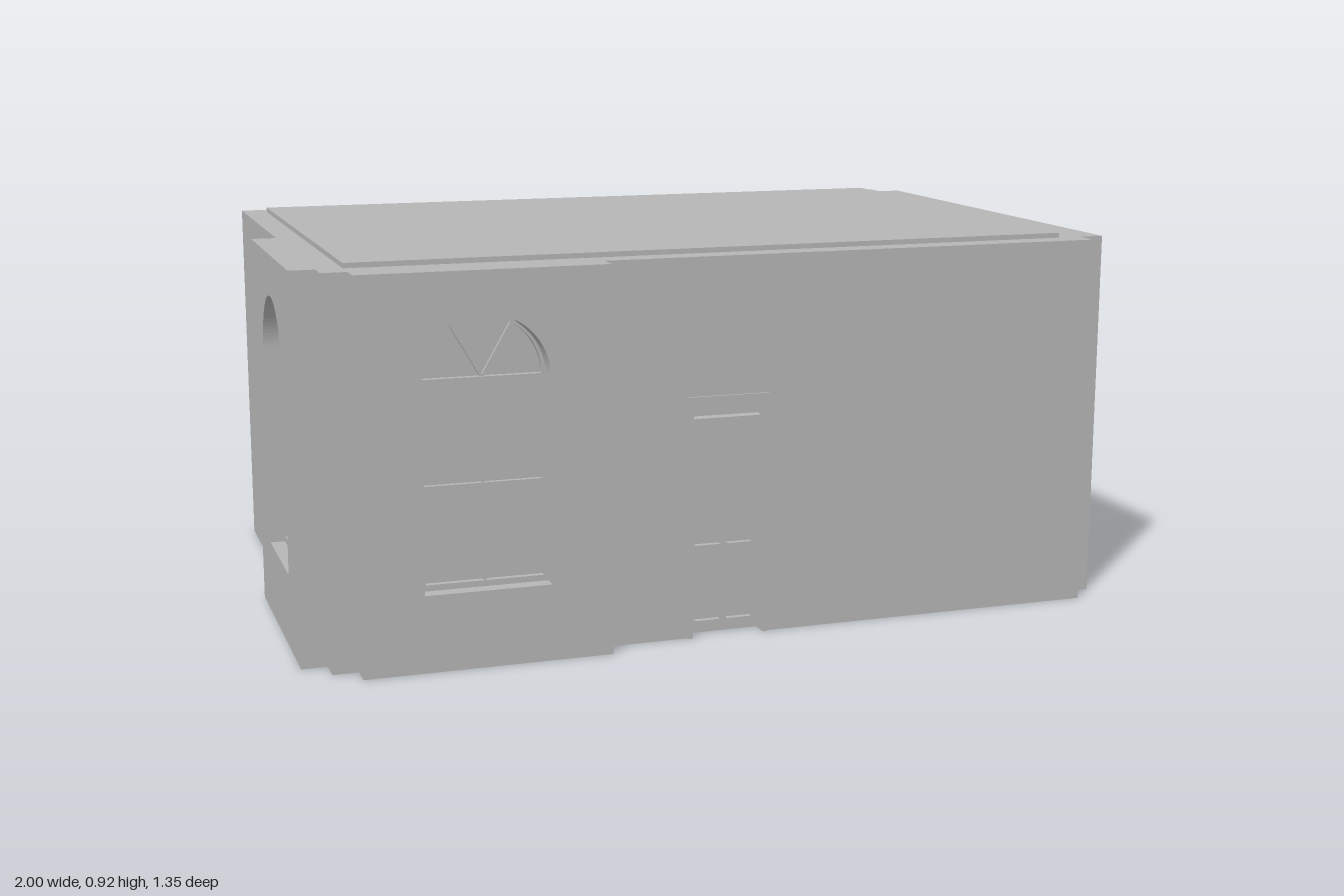
import * as THREE from 'three';

const H = 0.905;          // wall height
const T = 0.06;           // wall thickness
const SILL = 0.18, SPRING = 0.66, R = 0.147; // arched opening

const stone = new THREE.MeshStandardMaterial({ color: 0xb4b5b4 });
stone.name = 'plain grey';

function mesh(name, geometry, parent) {
  const m = new THREE.Mesh(geometry, stone);
  m.name = name;
  parent.add(m);
  return m;
}

// Box given by its limits on each axis
function block(name, parent, x0, x1, y0, y1, z0, z1) {
  const m = mesh(name, new THREE.BoxGeometry(x1 - x0, y1 - y0, z1 - z0), parent);
  m.position.set((x0 + x1) / 2, (y0 + y1) / 2, (z0 + z1) / 2);
  return m;
}

function rect(target, x0, x1, y0, y1) {
  target.moveTo(x0, y0);
  target.lineTo(x1, y0);
  target.lineTo(x1, y1);
  target.lineTo(x0, y1);
  target.closePath();
  return target;
}

// Round-headed outline: straight sides with half width w, head of radius r
function arch(target, cx, w, r, bottom) {
  target.moveTo(cx - w, bottom);
  target.lineTo(cx + w, bottom);
  target.lineTo(cx + w, SPRING);
  target.lineTo(cx + r, SPRING);
  target.absarc(cx, SPRING, r, 0, Math.PI, false);
  target.lineTo(cx - w, SPRING);
  target.closePath();
  return target;
}

const extrude = (shape, depth) =>
  new THREE.ExtrudeGeometry(shape, { depth, bevelEnabled: false, curveSegments: 24 });

// Wall panel in local x/y whose outer face lies at local z = 0
function wall(name, parent, x0, x1, windows = [], door = false, depth = T) {
  const shape = new THREE.Shape();
  if (door) {
    const d = 0.095, top = 0.575;
    [[x0, 0], [-d, 0], [-d, top], [d, top], [d, 0], [x1, 0], [x1, H], [x0, H]]
      .forEach(([x, y], i) => (i ? shape.lineTo(x, y) : shape.moveTo(x, y)));
    shape.closePath();
  } else rect(shape, x0, x1, 0, H);
  windows.forEach((cx) => shape.holes.push(arch(new THREE.Path(), cx, R, R, SILL)));
  const g = extrude(shape, depth);
  g.translate(0, 0, -depth);
  return mesh(name, g, parent);
}

// Sash window with fanlight, set back from the wall face
function archedWindow(parent, cx, headRadius) {
  const g = new THREE.Group();
  g.name = 'archedWindow';
  g.position.x = cx;
  parent.add(g);

  const pane = mesh('pane', extrude(arch(new THREE.Shape(), 0, R, headRadius, SILL), 0.004), g);
  pane.position.z = -0.054;

  const outline = arch(new THREE.Shape(), 0, R, headRadius, SILL);
  const fan = new THREE.Path();
  fan.absarc(0, SPRING + 0.002, headRadius - 0.008, 0, Math.PI, false);
  fan.closePath();
  outline.holes.push(fan, rect(new THREE.Path(), -0.137, 0.137, SILL + 0.014, 0.648));
  const frame = mesh('windowFrame', extrude(outline, 0.015), g);
  frame.position.z = -0.05;

  block('mullion', g, -0.004, 0.004, SILL + 0.01, 0.65, -0.05, -0.04);
  block('meetingRail', g, -0.138, 0.138, 0.405, 0.42, -0.05, -0.038);

  // Two radial glazing bars in the fanlight
  for (const s of [-1, 1]) {
    const length = headRadius - 0.006, angle = s * Math.PI / 6;
    const bar = mesh('fanBar', new THREE.BoxGeometry(0.006, length, 0.01), g);
    bar.position.set(Math.sin(angle) * length / 2, SPRING + Math.cos(angle) * length / 2, -0.045);
    bar.rotation.z = -angle;
  }
}

// Panelled door with transom light and a thin projecting casing
function buildDoor(parent) {
  const g = new THREE.Group();
  g.name = 'door';
  parent.add(g);
  for (const s of [-1, 1]) {
    block('doorJamb', g, s * 0.094 - 0.006, s * 0.094 + 0.006, 0, 0.575, -0.055, 0.006);
  }
  block('doorHead', g, -0.1, 0.1, 0.57, 0.58, -0.055, 0.006);
  block('transomBar', g, -0.09, 0.09, 0.512, 0.524, -0.055, -0.015);
  block('transomPane', g, -0.09, 0.09, 0.52, 0.572, -0.055, -0.045);

  const leaf = rect(new THREE.Shape(), -0.09, 0.09, 0.002, 0.514);
  for (const s of [-1, 1]) {
    const a = Math.min(s * 0.008, s * 0.072), b = Math.max(s * 0.008, s * 0.072);
    leaf.holes.push(rect(new THREE.Path(), a, b, 0.03, 0.19));
    leaf.holes.push(rect(new THREE.Path(), a, b, 0.215, 0.495));
  }
  mesh('doorLeaf', extrude(leaf, 0.015), g).position.z = -0.045;
  block('doorPanels', g, -0.09, 0.09, 0.002, 0.514, -0.055, -0.044);
}

function side(name, parent, x, z, turn) {
  const g = new THREE.Group();
  g.name = name;
  g.position.set(x, 0, z);
  g.rotation.y = turn;
  parent.add(g);
  return g;
}

export function createModel() {
  const model = new THREE.Group();
  model.name = 'building';

  // Front with door, and the projecting bay with one window
  const front = side('front', model, 0, 0.62, 0);
  wall('frontWall', front, -0.94, 0.94, [-0.59], true);
  buildDoor(front);
  const bay = side('frontBay', model, 0, 0.675, 0);
  wall('frontBayWall', bay, -0.88, -0.3, [-0.59], false, 0.055);
  archedWindow(bay, -0.59, 0.144);

  // Left side (+x) with two windows; local x runs towards -z
  const left = side('leftSide', model, 1, 0, Math.PI / 2);
  wall('leftWall', left, -0.56, 0.62, [-0.265, 0.322]);
  for (const cx of [-0.265, 0.322]) archedWindow(left, cx, 0.137);

  // Right side (-x): projecting bay with one window, plain wall behind it
  const right = side('rightSide', model, -1, 0, -Math.PI / 2);
  wall('rightBayWall', right, -0.03, 0.56, [0.265]);
  archedWindow(right, 0.265, 0.137);
  block('rightPlainWall', model, -0.94, -0.88, 0, H, -0.62, -0.03);

  block('backWall', model, -0.94, 0.94, 0, H, -0.675, -0.62);

  // Floor stops short of the door recess
  block('floor', model, -0.94, 0.94, 0, 0.01, -0.62, 0.56);
  block('ceiling', model, -0.94, 0.94, 0.88, H, -0.62, 0.56);
  block('roofSlab', model, -0.88, 0.88, 0.9, 0.917, -0.62, 0.56);

  return model;
}
